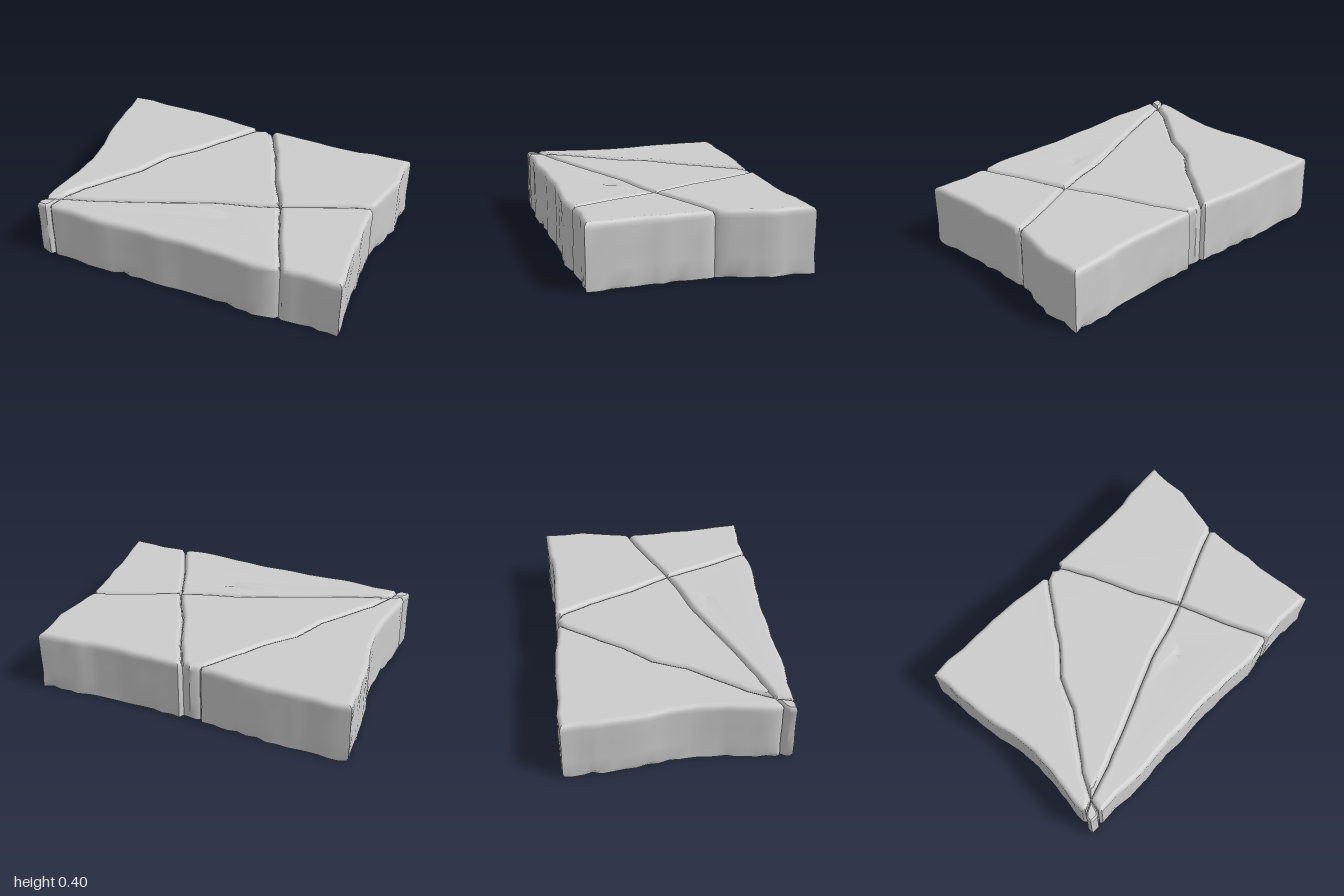
import * as THREE from 'three';
import { toCreasedNormals } from 'three/addons/utils/BufferGeometryUtils.js';

// Crack lines seen from above, as [x, z]
const tip = [-0.88, 0.56];
const cross = [0.39, 0.10];
const crackLeft = [[-0.06, -0.62], [-0.24, -0.38], [-0.32, -0.26], [-0.47, -0.10], [-0.56, 0.10], [-0.80, 0.41], tip];
const crackFront = [tip, [-0.66, 0.49], [-0.26, 0.33], [0, 0.22], [0.2, 0.165], cross];
const crackRight = [cross, [0.67, -0.02], [0.82, -0.08], [0.90, -0.105]];
const crackBack = [[0.05, -0.62], [0.15, -0.43], [0.26, -0.15], cross];
const crackLow = [cross, [0.47, 0.33], [0.595, 0.63]];
const sideEnd = [-0.955, 0.595];
const frontEnd = [-0.905, 0.645];

// Worn outer edges of the slab
const leftEdge = [[-0.97, 0.57], [-0.96, 0.45], [-0.93, 0.28], [-0.915, 0.12], [-0.93, -0.05], [-0.97, -0.25], [-0.985, -0.45], [-0.985, -0.55], [-1, -0.675]];
const backLeftEdge = [[-0.87, -0.688], [-0.75, -0.675], [-0.5, -0.68], [-0.3, -0.67], [-0.15, -0.65], [-0.075, -0.645]];
const backRightEdge = [[0.065, -0.655], [0.3, -0.65], [0.5, -0.645], [0.65, -0.65], [0.75, -0.67], [0.99, -0.68]];
const rightBackEdge = [[0.98, -0.55], [0.99, -0.42], [0.96, -0.3], [0.935, -0.18], [0.92, -0.125]];
const rightFrontEdge = [[0.923, -0.08], [0.925, 0.1], [0.94, 0.2], [0.935, 0.3], [0.96, 0.5], [0.975, 0.655]];
const frontRightEdge = [[0.9, 0.65], [0.75, 0.64], [0.62, 0.652]];
const frontEdge = [[0.575, 0.655], [0.5, 0.67], [0.4, 0.675], [0.2, 0.66], [0, 0.65], [-0.2, 0.66], [-0.3, 0.655], [-0.6, 0.675], [-0.75, 0.66], [-0.89, 0.665]];

const rev = (line) => [...line].reverse();
const noise = (x, y, z) => (Math.sin(23 * x + 11 * y + 7) + Math.sin(19 * z - 17 * y + 5 * x) + Math.sin(41 * x + 37 * z)) / 3;

// Joins lines into one closed contour, with extra slightly wavy points on long edges
function contourFrom(lines) {
  const raw = lines.flat().filter((p, i, all) => {
    const q = all[(i + 1) % all.length];
    return Math.hypot(p[0] - q[0], p[1] - q[1]) > 1e-6;
  });
  const pts = [];
  raw.forEach((p, i) => {
    const q = raw[(i + 1) % raw.length];
    const length = Math.hypot(q[0] - p[0], q[1] - p[1]);
    const steps = Math.max(1, Math.round(length / 0.06));
    for (let k = 0; k < steps; k++) {
      const x = p[0] + (q[0] - p[0]) * k / steps;
      const z = p[1] + (q[1] - p[1]) * k / steps;
      const w = k ? 0.004 : 0;
      pts.push(new THREE.Vector2(x + w * noise(x, 0, z), z + w * noise(z, 1, x)));
    }
  });
  return THREE.ShapeUtils.area(pts) < 0 ? pts.reverse() : pts;
}

// Inward mitred direction at each contour point
function inwardDirections(pts) {
  const n = pts.length;
  const normal = (a, b) => new THREE.Vector2(a.y - b.y, b.x - a.x).normalize();
  return pts.map((p, i) => {
    const a = normal(pts[(i + n - 1) % n], p);
    const b = normal(p, pts[(i + 1) % n]);
    return a.clone().add(b).divideScalar(Math.max(0.35, 1 + a.dot(b)));
  });
}

// One stone: stacked rings for walls and rounded rim, flat caps, optional chipped pit
function stoneGeometry(lines, height, bevel, chip) {
  const pts = contourFrom(lines);
  const dirs = inwardDirections(pts);
  const n = pts.length;
  const h = height;
  const rings = [[0, 0], [0, 0.03], [0, 0.12], [0, 0.23], [0, h - 0.045], [0.004, h - 0.024],
    [0.012, h - 0.008], [0.025, h], [0.035, h]];
  const position = [];
  const index = [];
  rings.forEach(([inset, y], r) => pts.forEach((p, i) => {
    const outer = Math.abs(p.y) > 0.635 || Math.abs(p.x) > 0.912;
    let d = inset * bevel;
    if (outer && r < 5) d += 0.004 * (1 + noise(p.x, y * 2, p.y));
    if (outer && r === 0) d += 0.022 * Math.max(0, noise(p.x * 2, 3, p.y * 2));
    position.push(p.x + dirs[i].x * d, y, p.y + dirs[i].y * d);
  }));
  for (let r = 0; r < rings.length - 1; r++) {
    for (let i = 0; i < n; i++) {
      const a = r * n + i, b = r * n + (i + 1) % n;
      index.push(a, a + n, b, b, a + n, b + n);
    }
  }
  const ring = (r) => pts.map((p, i) => new THREE.Vector2(position[(r * n + i) * 3], position[(r * n + i) * 3 + 2]));
  for (const [a, b, c] of THREE.ShapeUtils.triangulateShape(ring(0), [])) index.push(a, b, c);

  const hole = chip ? chip.map(([x, z]) => new THREE.Vector2(x, z)) : [];
  const top = (rings.length - 1) * n;
  hole.forEach((p) => position.push(p.x, h, p.y));
  for (const [a, b, c] of THREE.ShapeUtils.triangulateShape(ring(rings.length - 1), chip ? [hole] : [])) {
    index.push(top + a, top + c, top + b);
  }
  if (chip) {
    const first = top + n, m = hole.length;
    position.push(0.125, h - 0.014, 0.315);
    for (let i = 0; i < m; i++) index.push(first + m, first + (i + 1) % m, first + i);
  }
  const geometry = new THREE.BufferGeometry();
  geometry.setAttribute('position', new THREE.Float32BufferAttribute(position, 3));
  geometry.setIndex(index);
  return toCreasedNormals(geometry, 0.75);
}

export function createModel() {
  const group = new THREE.Group();
  group.name = 'crackedStoneSlab';
  const stone = new THREE.MeshStandardMaterial({ color: 0xcccccc });
  stone.name = 'grey stone';

  const chip = [[0.09, 0.30], [0.13, 0.285], [0.18, 0.28], [0.155, 0.35], [0.10, 0.365]];
  const stones = [
    ['leftEndStone', [leftEdge, backLeftEdge, crackLeft, [sideEnd]], 0.394, 1],
    ['middleStone', [crackLeft, crackFront, rev(crackBack), [[0.03, -0.622], [0, -0.645], [-0.03, -0.63]]], 0.39, 1],
    ['backCornerStone', [crackBack, crackRight, rev(rightBackEdge), rev(backRightEdge)], 0.395, 1],
    ['frontCornerStone', [rev(crackRight), crackLow, rev(frontRightEdge), rev(rightFrontEdge)], 0.392, 1],
    ['frontStone', [crackFront, crackLow, frontEdge, [frontEnd]], 0.39, 1, chip],
    ['cornerSliver', [[tip, sideEnd, [-0.982, 0.62], [-0.985, 0.665], [-0.925, 0.665], frontEnd]], 0.385, 0.5],
  ];
  for (const [name, lines, height, bevel, pit] of stones) {
    const mesh = new THREE.Mesh(stoneGeometry(lines, height, bevel, pit), stone);
    mesh.name = name;
    group.add(mesh);
  }
  return group;
}
